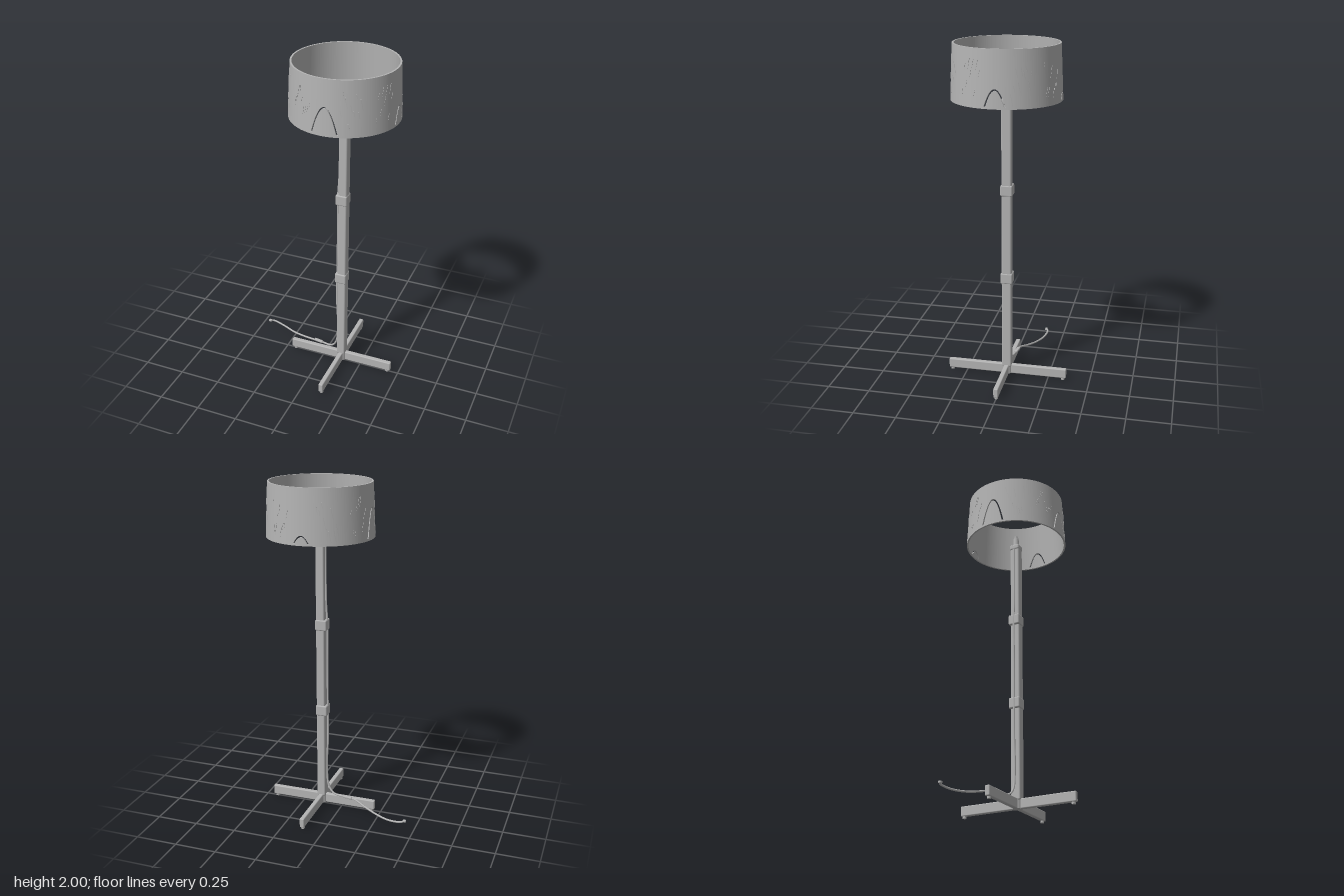
import * as THREE from 'three';
import { toCreasedNormals } from 'three/addons/utils/BufferGeometryUtils.js';
import { RoundedBoxGeometry } from 'three/addons/geometries/RoundedBoxGeometry.js';

const CX = 0.127; // axis of the pole
const SHADE_Y = 1.69, SHADE_H = 0.31, WALL = 0.01, RIM = 0.012;
const radiusAt = (y) => 0.31 - (y / SHADE_H) * 0.014;

// Arched slits: direction around the shade, height, half width, slit width
const ARCHES = [
  { angle: 0, h: 0.105, w: 0.062, gap: 0.009 },
  { angle: Math.PI / 2, h: 0.16, w: 0.077, gap: 0.008 },
  { angle: Math.PI, h: 0.18, w: 0.075, gap: 0.011 },
  { angle: Math.PI * 1.5, h: 0.055, w: 0.05, gap: 0.008 },
];

// Lower and upper edge of the slit at an angle
function slitEdges(theta) {
  for (const a of ARCHES) {
    const d = Math.atan2(Math.sin(theta - a.angle), Math.cos(theta - a.angle)) * 0.305;
    if (Math.abs(d) < a.w) {
      const curve = (h, w) => Math.max(RIM, h * (1 - (d / w) ** 2));
      return [curve(a.h - a.gap, a.w - a.gap), curve(a.h, a.w)];
    }
  }
  return [RIM, RIM];
}

// Sweeps a thin wall around the axis between two height functions
function band(low, high, columns = 480) {
  const pos = [];
  const section = (t) => {
    const lo = low(t), hi = high(t);
    return [[0, lo], [0, hi], [WALL, hi], [WALL, lo]].map(([inset, y]) => {
      const r = radiusAt(y) - inset;
      return [r * Math.cos(t), y, r * Math.sin(t)];
    });
  };
  for (let i = 0; i < columns; i++) {
    const t0 = (i / columns) * Math.PI * 2, t1 = ((i + 1) / columns) * Math.PI * 2;
    const flat0 = high(t0) - low(t0) < 1e-5, flat1 = high(t1) - low(t1) < 1e-5;
    if (flat0 && flat1) continue;
    const p = section(t0), q = section(t1);
    for (let k = 0; k < 4; k++) {
      const n = (k + 1) % 4;
      if (!(flat0 && k % 2 === 0)) pos.push(...p[k], ...p[n], ...q[n]);
      if (!(flat1 && k % 2 === 0)) pos.push(...p[k], ...q[n], ...q[k]);
    }
  }
  const g = new THREE.BufferGeometry();
  g.setAttribute('position', new THREE.Float32BufferAttribute(pos, 3));
  return toCreasedNormals(g, 0.6);
}

export function createModel() {
  const model = new THREE.Group();
  const grey = new THREE.MeshStandardMaterial({ color: 0xb4b4b4, side: THREE.DoubleSide });
  grey.name = 'matte grey';

  const add = (name, geometry, x = 0, y = 0, z = 0, parent = model) => {
    const mesh = new THREE.Mesh(geometry, grey);
    mesh.name = name;
    mesh.position.set(x, y, z);
    parent.add(mesh);
    return mesh;
  };
  const box = (w, h, d, r) => new RoundedBoxGeometry(w, h, d, 2, r);

  // Cross-shaped base with small feet
  add('baseBarAcross', box(0.664, 0.058, 0.028, 0.006), 0.12, 0.041, 0);
  add('baseBarAlong', box(0.028, 0.058, 0.72, 0.006), CX, 0.041, 0);
  const hub = add('baseHub', new THREE.CylinderGeometry(0.03, 0.03, 0.056, 8), CX, 0.041, 0);
  hub.rotation.y = Math.PI / 8;
  for (const [x, z] of [[-0.19, 0], [0.43, 0], [CX, 0.34], [CX, -0.34]]) {
    add('foot', new THREE.CylinderGeometry(0.011, 0.011, 0.016, 12), x, 0.008, z);
  }

  // Pole, top collar and lamp socket
  add('pole', box(0.052, 1.62, 0.058, 0.009), CX, 0.87, 0);
  add('topCollar', box(0.06, 0.035, 0.062, 0.01), CX, 1.675, 0);
  add('socket', new THREE.CylinderGeometry(0.016, 0.02, 0.06, 16), CX, 1.715, 0);
  add('socketTip', new THREE.CylinderGeometry(0.01, 0.01, 0.02, 12), CX, 1.752, 0);

  // Cable clips around the pole
  for (const y of [0.63, 1.165]) {
    add('clip', box(0.07, 0.065, 0.07, 0.008), CX - 0.006, y, 0);
  }

  // Cord down the side of the pole and out over the floor
  const path = [
    [0.1, 1.66, 0], [0.097, 1.3, 0], [0.09, 1.17, 0], [0.091, 0.9, 0], [0.09, 0.63, 0],
    [0.09, 0.45, 0], [0.097, 0.25, 0], [0.085, 0.125, -0.002], [0.05, 0.082, -0.01],
    [-0.03, 0.076, -0.025], [-0.09, 0.073, -0.032], [-0.17, 0.052, -0.065],
    [-0.25, 0.036, -0.1], [-0.34, 0.033, -0.14], [-0.42, 0.042, -0.155], [-0.447, 0.047, -0.14],
  ].map((p) => new THREE.Vector3(...p));
  add('cord', new THREE.TubeGeometry(new THREE.CatmullRomCurve3(path), 160, 0.006, 8));
  const cordSwitch = add('cordSwitch', box(0.06, 0.014, 0.02, 0.005), -0.045, 0.077, -0.027);
  cordSwitch.rotation.y = -0.15;
  add('plug', box(0.02, 0.014, 0.016, 0.004), -0.44, 0.046, -0.143);

  // Shade: bottom rim, tongues inside the arches, and the wall above them
  const shade = new THREE.Group();
  shade.name = 'shade';
  shade.position.set(CX, SHADE_Y, 0);
  model.add(shade);
  add('shadeRim', band(() => 0, () => RIM), 0, 0, 0, shade);
  add('archTongues', band(() => RIM, (t) => slitEdges(t)[0]), 0, 0, 0, shade);
  add('shadeWall', band((t) => slitEdges(t)[1], () => SHADE_H), 0, 0, 0, shade);

  // Fine wood-grain streaks flanking each arch
  let seed = 7;
  const random = () => (seed = (seed * 16807) % 2147483647) / 2147483647;
  for (const a of ARCHES) {
    for (const side of [-1, 1]) {
      for (let i = 0; i < 9; i++) {
        const t = a.angle + side * (0.29 + 0.045 * i);
        const y = 0.05 + random() * 0.19, length = 0.02 + random() * 0.05;
        const streak = new THREE.Group();
        streak.name = 'grainStreak';
        streak.rotation.y = -t;
        shade.add(streak);
        const line = add('streakLine', new THREE.BoxGeometry(0.003, length, 0.003), radiusAt(y), y, 0, streak);
        line.rotation.x = -side * 0.2;
      }
    }
  }
  return model;
}
